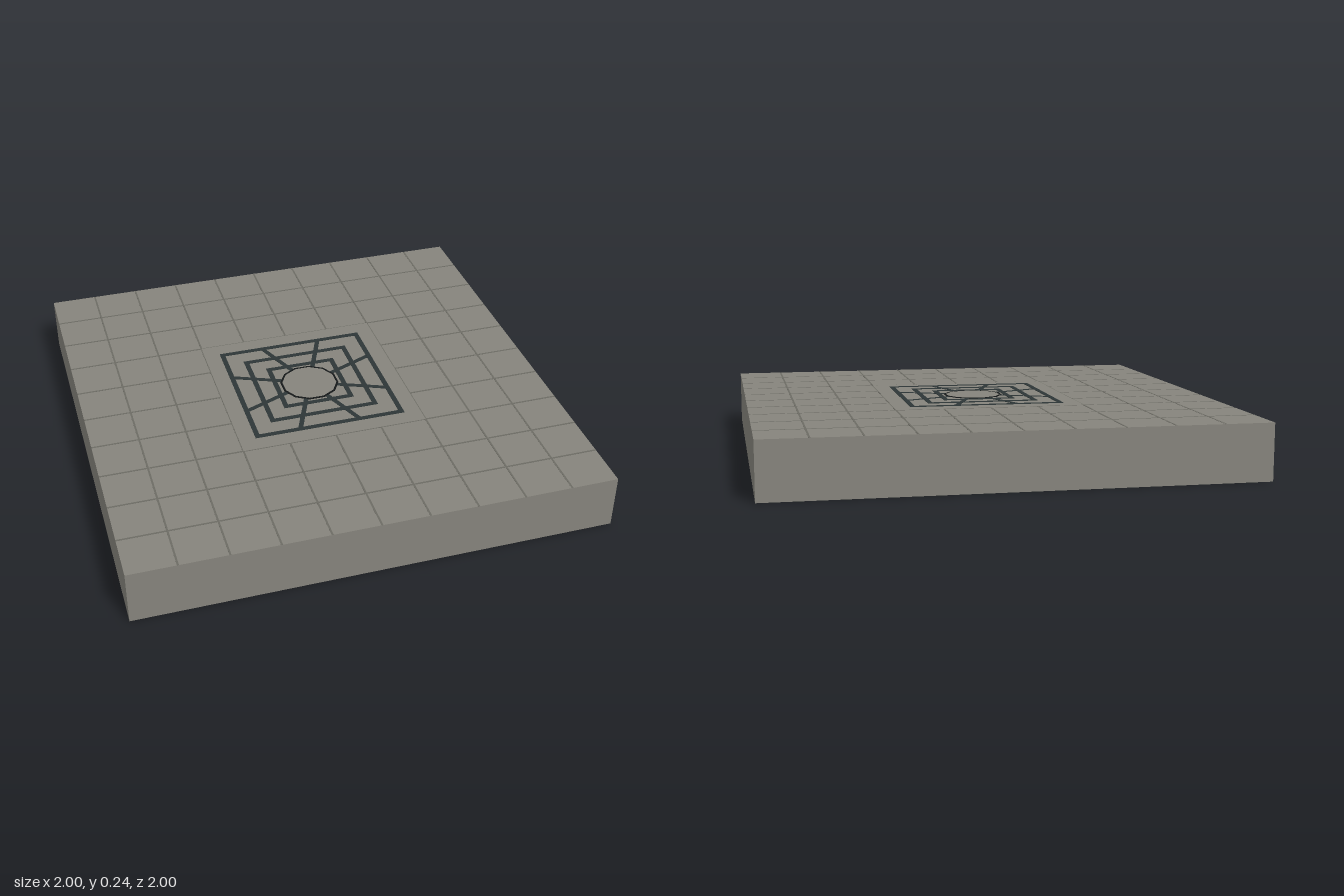
import * as THREE from 'three';

const TOP = 0.234;

export function createModel() {
  const root = new THREE.Group();
  const mat = (name, color, side = THREE.FrontSide) => {
    const m = new THREE.MeshStandardMaterial({ color, side });
    m.name = name;
    return m;
  };
  const stone = mat('stone', 0x86847c, THREE.DoubleSide);
  const joint = mat('stone joint', 0x6c6b64);
  const iron = mat('dark iron', 0x2d3637);
  const black = mat('black rim', 0x151819);
  const wood = mat('brown lining', 0x6b4f36, THREE.DoubleSide);

  const add = (name, geometry, material, x = 0, y = 0, z = 0, ry = 0) => {
    const mesh = new THREE.Mesh(geometry, material);
    mesh.name = name;
    mesh.position.set(x, y, z);
    mesh.rotation.y = ry;
    root.add(mesh);
    return mesh;
  };

  // Box shell without a floor
  const openBox = (half, y0, y1) => {
    const g = new THREE.BoxGeometry(half * 2, y1 - y0, half * 2);
    const index = Array.from(g.index.array);
    index.splice(18, 6);
    g.setIndex(index);
    g.clearGroups();
    g.translate(0, (y0 + y1) / 2, 0);
    return g;
  };

  // Nested hollow blocks: floor slab, grate housing, lining of the shaft
  add('floorSlab', openBox(1, 0, TOP), stone);
  add('grateHousing', openBox(0.4, 0.08, TOP + 0.001), stone);
  add('shaftLining', openBox(0.337, 0.08, 0.175), wood);

  // Paving joints, interrupted at the grate housing
  const strip = (name, length, x, z, turned) =>
    add(name, new THREE.BoxGeometry(length, 0.0012, 0.008), joint, x, TOP, z, turned ? Math.PI / 2 : 0);
  for (let i = -4; i <= 4; i++) {
    const p = i * 0.2;
    if (Math.abs(i) >= 2) {
      strip('jointAcross', 2, 0, p, false);
      strip('jointAlong', 2, p, 0, true);
    } else {
      for (const s of [-1, 1]) {
        strip('jointAcross', 0.6, s * 0.7, p, false);
        strip('jointAlong', 0.6, p, s * 0.7, true);
      }
    }
  }

  // Flat extruded outline with a hole, laid on the floor
  const layFlat = (shape, height) =>
    new THREE.ExtrudeGeometry(shape, { depth: height, bevelEnabled: false }).rotateX(-Math.PI / 2);
  const polygon = (radius, sides, turn) =>
    Array.from({ length: sides }, (_, i) => {
      const a = turn + (i * 2 * Math.PI) / sides;
      return new THREE.Vector2(Math.cos(a) * radius, Math.sin(a) * radius);
    });
  const frame = (outer, inner, sides, turn, height) => {
    const shape = new THREE.Shape(polygon(outer, sides, turn));
    shape.holes.push(new THREE.Path(polygon(inner, sides, turn)));
    return layFlat(shape, height);
  };

  // Three square grate frames
  for (const half of [0.33, 0.24, 0.157]) {
    add('grateFrame', frame(half * Math.SQRT2, (half - 0.021) * Math.SQRT2, 4, Math.PI / 4, 0.003), iron, 0, TOP);
  }

  // Eight spokes from the central ring to the outer frame
  for (let i = 0; i < 8; i++) {
    const a = Math.PI / 8 + (i * Math.PI) / 4;
    const r0 = 0.125, r1 = 0.342, mid = (r0 + r1) / 2;
    add('grateSpoke', new THREE.BoxGeometry(r1 - r0, 0.0025, 0.02), iron,
      Math.cos(a) * mid, TOP + 0.00125, -Math.sin(a) * mid, a);
  }

  // Central disc with its dark rim
  add('centreDisc', new THREE.CylinderGeometry(0.122, 0.122, 0.003, 12), stone, 0, TOP + 0.0015, 0, Math.PI / 12);
  add('centreRim', frame(0.129, 0.12, 12, Math.PI / 12, 0.0035), black, 0, TOP);

  return root;
}
